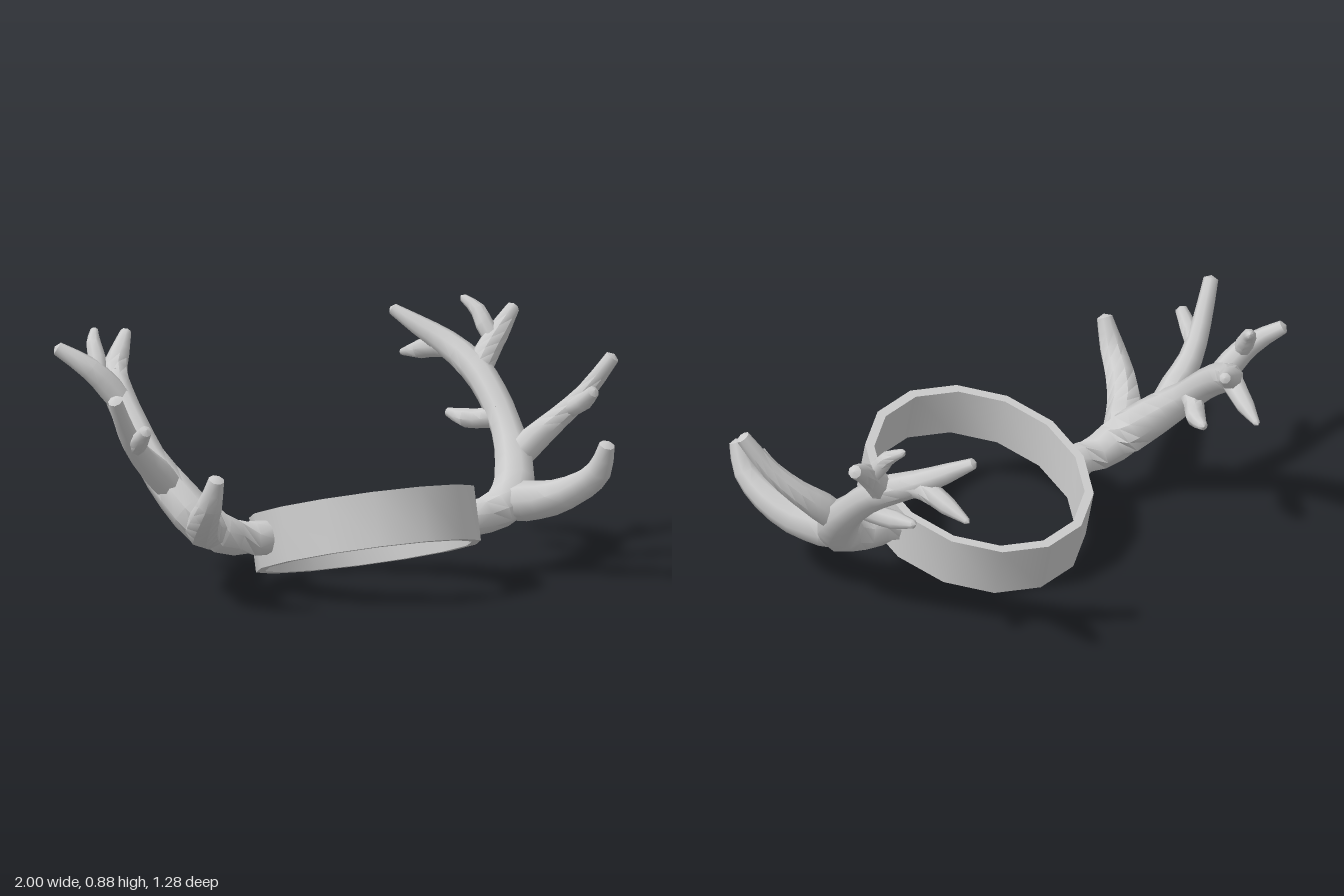
import * as THREE from 'three';
import { toCreasedNormals } from 'three/addons/utils/BufferGeometryUtils.js';

const material = new THREE.MeshStandardMaterial({ color: 0xcccccc });
const SIDES = 8;

// Tapered, capped limb through [x, y, z, radius] points; side = -1 mirrors it.
function limb(name, side, points, tip = 0.012) {
  const path = points.map(p => new THREE.Vector3(p[0] * side, p[1], p[2]));
  const curve = new THREE.CatmullRomCurve3(path);
  const steps = (points.length - 1) * 2;
  const dir = path[path.length - 1].clone().sub(path[0]).normalize();
  const size = dir.toArray().map(Math.abs);
  const ref = new THREE.Vector3().setComponent(size.indexOf(Math.min(...size)), 1);
  const pos = [], index = [];

  for (let i = 0; i <= steps; i++) {
    const t = i / steps, k = Math.min(Math.floor(i / 2), points.length - 2);
    const r = THREE.MathUtils.lerp(points[k][3], points[k + 1][3], i / 2 - k);
    const c = curve.getPoint(t), tangent = curve.getTangent(t);
    const u = new THREE.Vector3().crossVectors(ref, tangent).normalize();
    const v = new THREE.Vector3().crossVectors(tangent, u);
    for (let j = 0; j < SIDES; j++) {
      const a = j / SIDES * Math.PI * 2;
      const p = c.clone().addScaledVector(u, r * Math.cos(a)).addScaledVector(v, r * Math.sin(a));
      pos.push(p.x, p.y, p.z);
    }
  }
  for (let i = 0; i < steps; i++) {
    for (let j = 0; j < SIDES; j++) {
      const a = i * SIDES + j, b = i * SIDES + (j + 1) % SIDES;
      index.push(a, b, b + SIDES, a, b + SIDES, a + SIDES);
    }
  }
  // Closed root and blunt tip
  const end = path[path.length - 1].clone().addScaledVector(curve.getTangent(1), tip);
  const root = pos.length / 3, last = steps * SIDES;
  pos.push(...path[0].toArray(), ...end.toArray());
  for (let j = 0; j < SIDES; j++) {
    const n = (j + 1) % SIDES;
    index.push(root, n, j, root + 1, last + j, last + n);
  }
  const geometry = new THREE.BufferGeometry();
  geometry.setAttribute('position', new THREE.Float32BufferAttribute(pos, 3));
  geometry.setIndex(index);
  const mesh = new THREE.Mesh(toCreasedNormals(geometry, 0.8), material);
  mesh.name = name;
  return mesh;
}

// Fourteen-sided oval band, tilted up at the front
function headband() {
  const profile = [[0.965, -0.5], [1, -0.5], [1, 0.5], [0.92, 0.5], [0.92, -0.5], [0.965, -0.5]]
    .map(([x, y]) => new THREE.Vector2(x, y));
  const geometry = new THREE.LatheGeometry(profile, 14);
  geometry.scale(0.38, 0.19, 0.435);
  const mesh = new THREE.Mesh(toCreasedNormals(geometry, 0.6), material);
  mesh.name = 'headband';
  mesh.position.set(0, 0.206, 0.203);
  mesh.rotation.x = -0.262;
  return mesh;
}

function antler(side) {
  const group = new THREE.Group();
  group.name = side > 0 ? 'leftAntler' : 'rightAntler';
  group.add(
    limb('mainBeam', side, [
      [0.355, 0.2, 0.17, 0.06], [0.49, 0.21, 0.17, 0.063], [0.6, 0.26, 0.155, 0.078],
      [0.665, 0.36, 0.06, 0.07], [0.7, 0.47, -0.06, 0.056], [0.705, 0.57, -0.17, 0.054],
      [0.695, 0.65, -0.28, 0.054], [0.65, 0.72, -0.4, 0.046], [0.585, 0.775, -0.48, 0.034],
      [0.525, 0.825, -0.548, 0.02]]),
    limb('browTine', side, [
      [0.57, 0.245, 0.14, 0.06], [0.625, 0.255, 0.21, 0.07], [0.69, 0.275, 0.3, 0.062],
      [0.74, 0.325, 0.4, 0.054], [0.765, 0.39, 0.485, 0.044], [0.768, 0.485, 0.535, 0.028]]),
    limb('sideTine', side, [
      [0.65, 0.35, 0.05, 0.05], [0.74, 0.44, 0.065, 0.052], [0.82, 0.51, 0.09, 0.042],
      [0.9, 0.6, 0.14, 0.034], [0.978, 0.728, 0.195, 0.026]]),
    limb('sideTineSpur', side, [
      [0.85, 0.54, 0.11, 0.03], [0.872, 0.575, 0.175, 0.032], [0.88, 0.62, 0.235, 0.022]]),
    limb('rearTine', side, [
      [0.7, 0.51, -0.08, 0.045], [0.67, 0.49, -0.15, 0.035], [0.63, 0.483, -0.22, 0.034],
      [0.605, 0.495, -0.3, 0.016]]),
    limb('outerTine', side, [
      [0.69, 0.62, -0.25, 0.045], [0.74, 0.69, -0.275, 0.046], [0.8, 0.755, -0.3, 0.04],
      [0.895, 0.825, -0.365, 0.024]]),
    limb('outerTineSpur', side, [
      [0.78, 0.73, -0.285, 0.032], [0.762, 0.785, -0.325, 0.032], [0.755, 0.83, -0.36, 0.027],
      [0.725, 0.868, -0.41, 0.014]]),
    limb('lowerTine', side, [
      [0.675, 0.7, -0.35, 0.042], [0.645, 0.705, -0.43, 0.04], [0.622, 0.68, -0.53, 0.033],
      [0.605, 0.658, -0.625, 0.012]]));
  return group;
}

export function createModel() {
  const model = new THREE.Group();
  model.name = 'antlerHeadband';
  model.add(headband(), antler(1), antler(-1));
  return model;
}
